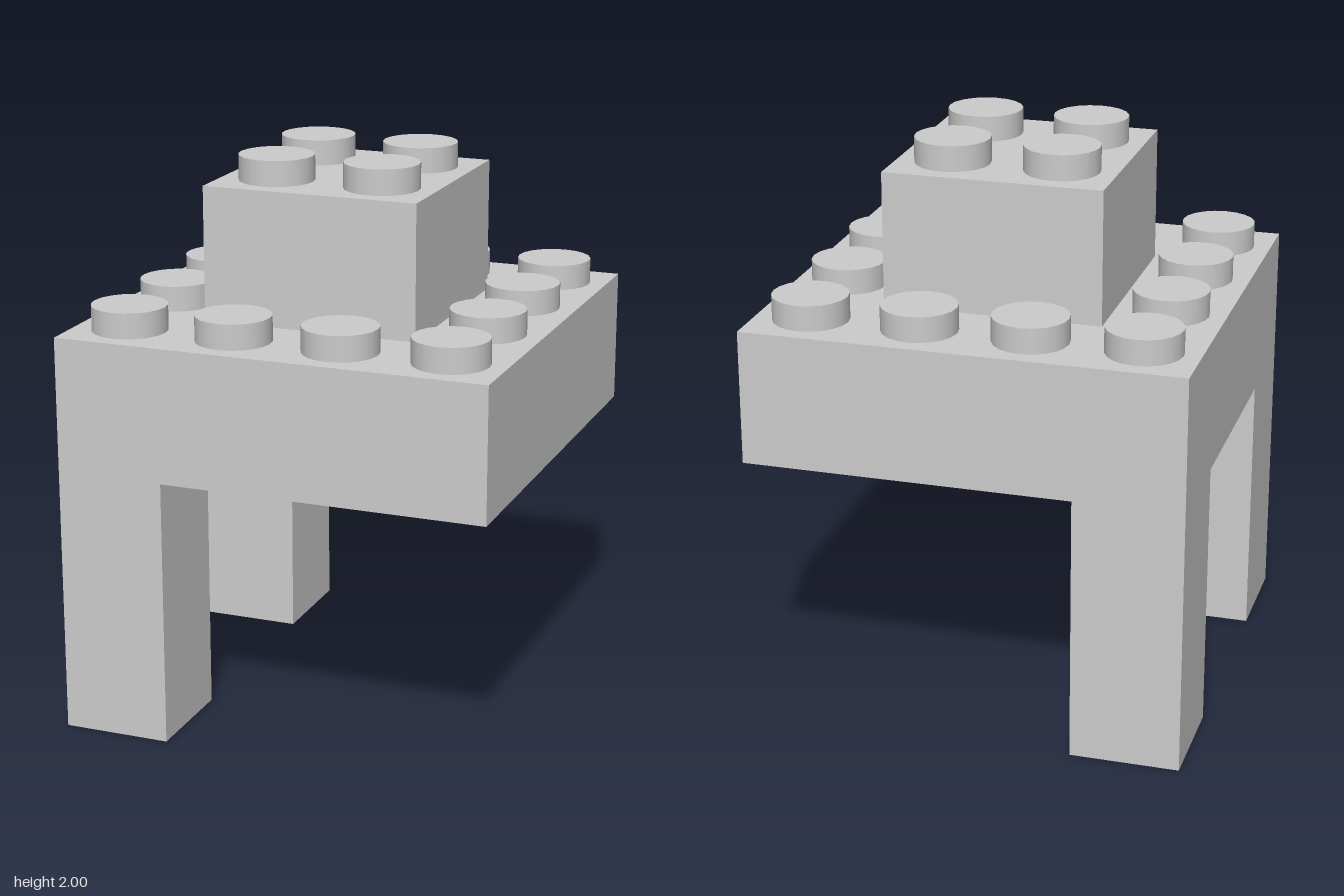
import * as THREE from 'three';

const PITCH = 0.388;        // grid spacing of the studs
const EDGE = 0.775;         // half width of the slab
const LEG_TOP = 0.955, SLAB_TOP = 1.433, BLOCK_TOP = 1.91;
const STUD_HEIGHT = 0.09, STUD_RADIUS = 0.133;

const material = new THREE.MeshStandardMaterial({ color: 0xcccccc });

// Square block standing between two heights
function block(name, width, bottom, top, x = 0, z = 0) {
  const mesh = new THREE.Mesh(new THREE.BoxGeometry(width, top - bottom, width), material);
  mesh.name = name;
  mesh.position.set(x, (bottom + top) / 2, z);
  return mesh;
}

// Square grid of round studs; skip(i, j) leaves places empty
function studs(name, count, y, skip = () => false) {
  const group = new THREE.Group();
  group.name = name;
  const geometry = new THREE.CylinderGeometry(STUD_RADIUS, STUD_RADIUS, STUD_HEIGHT, 20);
  for (let i = 0; i < count; i++) {
    for (let j = 0; j < count; j++) {
      if (skip(i, j)) continue;
      const stud = new THREE.Mesh(geometry, material);
      stud.name = 'stud';
      stud.position.set((i - (count - 1) / 2) * PITCH, y + STUD_HEIGHT / 2, (j - (count - 1) / 2) * PITCH);
      group.add(stud);
    }
  }
  return group;
}

export function createModel() {
  const model = new THREE.Group();
  model.name = 'studdedBlockTable';

  // Two legs, both on the right side
  const legWidth = 0.386, legCentre = EDGE - legWidth / 2;
  model.add(block('frontLeg', legWidth, 0, LEG_TOP, -legCentre, legCentre));
  model.add(block('backLeg', legWidth, 0, LEG_TOP, -legCentre, -legCentre));

  // Wide slab with a ring of studs around the upper block
  const inner = (i) => i === 1 || i === 2;
  model.add(block('slab', 2 * EDGE, LEG_TOP, SLAB_TOP));
  model.add(studs('slabStuds', 4, SLAB_TOP, (i, j) => inner(i) && inner(j)));

  // Small block on top
  model.add(block('upperBlock', 0.776, SLAB_TOP, BLOCK_TOP));
  model.add(studs('upperStuds', 2, BLOCK_TOP));

  return model;
}
